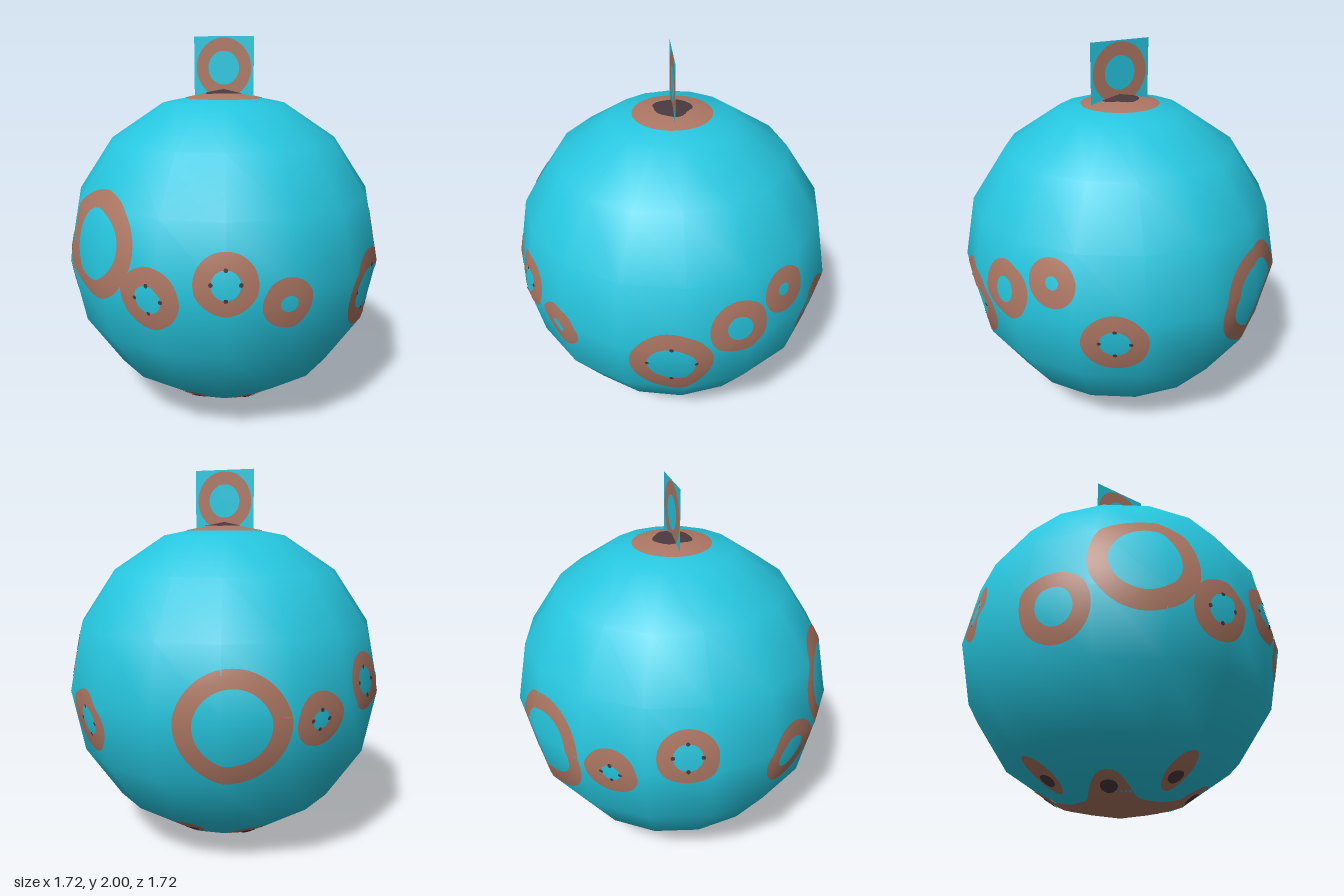
import * as THREE from 'three';

const R = 0.86, CY = 0.86, STEP = Math.PI / 8, RAD = Math.PI / 180;

const teal = new THREE.MeshStandardMaterial({ color: 0x26c6df, side: THREE.DoubleSide });
const brown = new THREE.MeshStandardMaterial({ color: 0xad7763, side: THREE.DoubleSide });
const dark = new THREE.MeshStandardMaterial({ color: 0x4a3a40, side: THREE.DoubleSide });
teal.name = 'teal';
brown.name = 'brown';
dark.name = 'dark';

// Distance from the centre to the 16 x 8 sided ball along direction d
function ballRadius(d) {
  const half = STEP / 2;
  const mid = (Math.floor(Math.atan2(d.z, d.x) / STEP) + 0.5) * STEP;
  const u = (d.x * Math.cos(mid) + d.z * Math.sin(mid)) / Math.cos(half);
  const tilt = (Math.floor(Math.atan2(u, d.y) / STEP) + 0.5) * STEP;
  return R * Math.cos(half) / (u * Math.sin(tilt) + d.y * Math.cos(tilt));
}

// Direction from azimuth (degrees, 0 = front, 90 = +x) and elevation (radians)
function direction(az, el) {
  const a = az * RAD;
  return new THREE.Vector3(Math.sin(a) * Math.cos(el), Math.sin(el), Math.cos(a) * Math.cos(el));
}
const elevationOf = (y) => Math.asin((y - CY) / R);

// Painted patch that hugs the ball; inner and outer give its radius by angle
function patch(name, az, el, inner, outer, material, lift = 0.003, segs = 48, rows = 6) {
  const c = direction(az, el);
  const t = new THREE.Vector3(Math.cos(az * RAD), 0, -Math.sin(az * RAD));
  const b = new THREE.Vector3().crossVectors(c, t);
  const pos = [], nor = [], idx = [];
  for (let i = 0; i <= rows; i++) {
    for (let j = 0; j <= segs; j++) {
      const th = (j / segs) * Math.PI * 2;
      const rho = THREE.MathUtils.lerp(inner(th), outer(th), i / rows) / R;
      const d = c.clone().multiplyScalar(Math.cos(rho))
        .addScaledVector(t, Math.sin(rho) * Math.cos(th))
        .addScaledVector(b, Math.sin(rho) * Math.sin(th));
      const r = ballRadius(d) + lift;
      pos.push(d.x * r, CY + d.y * r, d.z * r);
      nor.push(d.x, d.y, d.z);
      if (i < rows && j < segs) {
        const p = i * (segs + 1) + j, q = p + segs + 1;
        idx.push(p, q, q + 1, p, q + 1, p + 1);
      }
    }
  }
  const geo = new THREE.BufferGeometry();
  geo.setAttribute('position', new THREE.Float32BufferAttribute(pos, 3));
  geo.setAttribute('normal', new THREE.Float32BufferAttribute(nor, 3));
  geo.setIndex(idx);
  const mesh = new THREE.Mesh(geo, material);
  mesh.name = name;
  return mesh;
}

const zero = () => 0;
const round = (r) => () => r;
const oval = (a, b) => (th) => a * b / Math.hypot(b * Math.cos(th), a * Math.sin(th));

// Belt rings: azimuth, height, outer radius, inner radius, has dark specks
const RINGS = [
  [-28.5, 1.02, 0.28, 0.18, 0],
  [-3, 0.815, 0.16, 0.072, 1],
  [22.3, 0.915, 0.155, 0.07, 1],
  [42.5, 0.805, 0.13, 0.043, 0],
  [-57.7, 0.785, 0.182, 0.095, 0],
  [85, 0.735, 0.215, 0.125, 1],
  [108, 0.93, 0.155, 0.065, 0],
  [127, 1.037, 0.127, 0.035, 0],
  [148, 0.742, 0.168, 0.078, 1],
  [206, 0.81, 0.283, 0.19, 0],
  [236, 0.82, 0.14, 0.05, 1],
  [261.5, 0.947, 0.152, 0.073, 1],
];

function createBelt() {
  const belt = new THREE.Group();
  belt.name = 'ringBelt';
  for (const [az, y, outer, inner, specks] of RINGS) {
    const el = elevationOf(y);
    belt.add(patch('beltRing', az, el, round(inner), round(outer), brown));
    // small dark specks on the inner rim
    for (let k = 0; specks && k < 4; k++) {
      const a = k * Math.PI / 2, s = inner / R;
      const dAz = s * Math.cos(a) / Math.cos(el) / RAD;
      belt.add(patch('rimSpeck', az + dAz, el + s * Math.sin(a), zero, round(0.011), dark, 0.005, 8, 1));
    }
  }
  return belt;
}

// Underside: four armed star, four drops between its arms, a dark spot on each
function createUnderside() {
  const under = new THREE.Group();
  under.name = 'underside';
  const star = (th) => R * RAD * (17 + 15 * Math.pow((1 - Math.cos(4 * th)) / 2, 2.2));
  under.add(patch('star', 0, -Math.PI / 2, zero, star, brown, 0.003, 96, 16));
  for (let k = 0; k < 4; k++) {
    const az = k * 90;
    under.add(patch('drop', az, -57 * RAD, zero, oval(0.07, 0.135), brown));
    under.add(patch('dropSpot', az, -59.5 * RAD, zero, round(0.042), dark, 0.006, 20, 3));
    under.add(patch('starSpot', az + 45, -65 * RAD, zero, round(0.042), dark, 0.006, 20, 3));
  }
  return under;
}

// Flat hanger tag standing on the top, with a ring set into it
function createHanger() {
  const hanger = new THREE.Group();
  hanger.name = 'hanger';
  const w = 0.17, low = 1.68, high = 2, cy = 1.837, outer = 0.156, inner = 0.088;
  const plate = new THREE.Shape();
  plate.moveTo(-w, low).lineTo(w, low).lineTo(w, high).lineTo(-w, high).closePath();
  plate.holes.push(new THREE.Path().absarc(0, cy, outer, 0, Math.PI * 2, true));
  const add = (name, geo, material, y) => {
    const mesh = new THREE.Mesh(geo, material);
    mesh.name = name;
    mesh.position.y = y;
    hanger.add(mesh);
  };
  add('hangerPlate', new THREE.ShapeGeometry(plate, 24), teal, 0);
  add('hangerRing', new THREE.RingGeometry(inner, outer, 48), brown, cy);
  add('hangerCentre', new THREE.CircleGeometry(inner, 48), teal, cy);
  return hanger;
}

export function createModel() {
  const model = new THREE.Group();
  model.name = 'ornament';

  const ball = new THREE.Mesh(new THREE.SphereGeometry(R, 16, 8), teal);
  ball.name = 'ball';
  ball.position.y = CY;
  model.add(ball);

  // Cap disc with a dark, uneven centre
  const blot = (th) => 0.1 + 0.006 * Math.cos(3 * th) + 0.004 * Math.sin(5 * th);
  model.add(patch('capDisc', 0, Math.PI / 2, zero, round(0.212), brown));
  model.add(patch('capCentre', 0, Math.PI / 2, zero, blot, dark, 0.006));

  model.add(createBelt(), createUnderside(), createHanger());
  return model;
}
